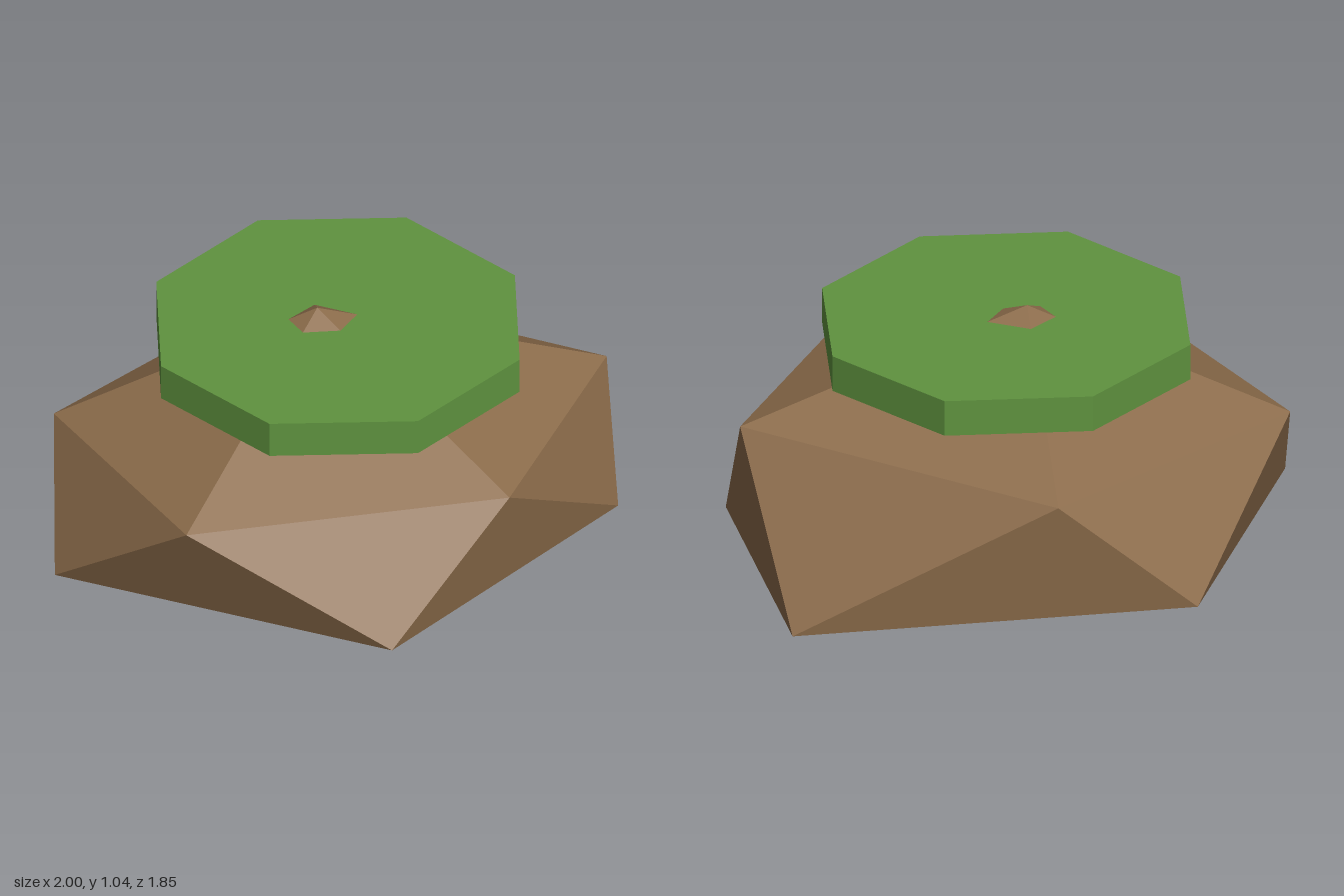
import * as THREE from 'three';

// Irregular twenty-faced boulder: two staggered rings of five points and two poles
function rockGeometry() {
  const top = [-0.03, 1.04, -0.05], bottom = [-0.13, 0, -0.14];
  const upper = [[0.2, 0.64, -0.75], [0.95, 0.7, 0.17], [0.33, 0.65, 0.74], [-0.74, 0.61, 0.44], [-0.85, 0.61, -0.41]];
  const lower = [[1, 0.14, -0.33], [0.88, 0.26, 0.42], [-0.19, 0.28, 0.92], [-1, 0.2, -0.07], [-0.24, 0.245, -0.93]];
  const points = [];
  for (let i = 0; i < 5; i++) {
    const j = (i + 1) % 5;
    points.push(
      top, upper[j], upper[i],
      upper[i], upper[j], lower[i],
      lower[i], upper[j], lower[j],
      bottom, lower[i], lower[j]);
  }
  const geometry = new THREE.BufferGeometry();
  geometry.setAttribute('position', new THREE.Float32BufferAttribute(points.flat(), 3));
  geometry.computeVertexNormals();
  return geometry;
}

export function createModel() {
  const brown = new THREE.MeshStandardMaterial({ color: 0x8b6b4a, flatShading: true });
  brown.name = 'earth brown';
  const green = new THREE.MeshStandardMaterial({ color: 0x5f933f, flatShading: true });
  green.name = 'grass green';

  const model = new THREE.Group();
  model.name = 'grassyRock';

  const rock = new THREE.Mesh(rockGeometry(), brown);
  rock.name = 'rock';

  // Octagonal slab of grass, pierced by the rock's tip
  const grass = new THREE.Mesh(new THREE.CylinderGeometry(0.66, 0.66, 0.132, 8), green);
  grass.name = 'grassCap';
  grass.position.set(0.03, 0.927, -0.012);

  model.add(rock, grass);
  return model;
}
